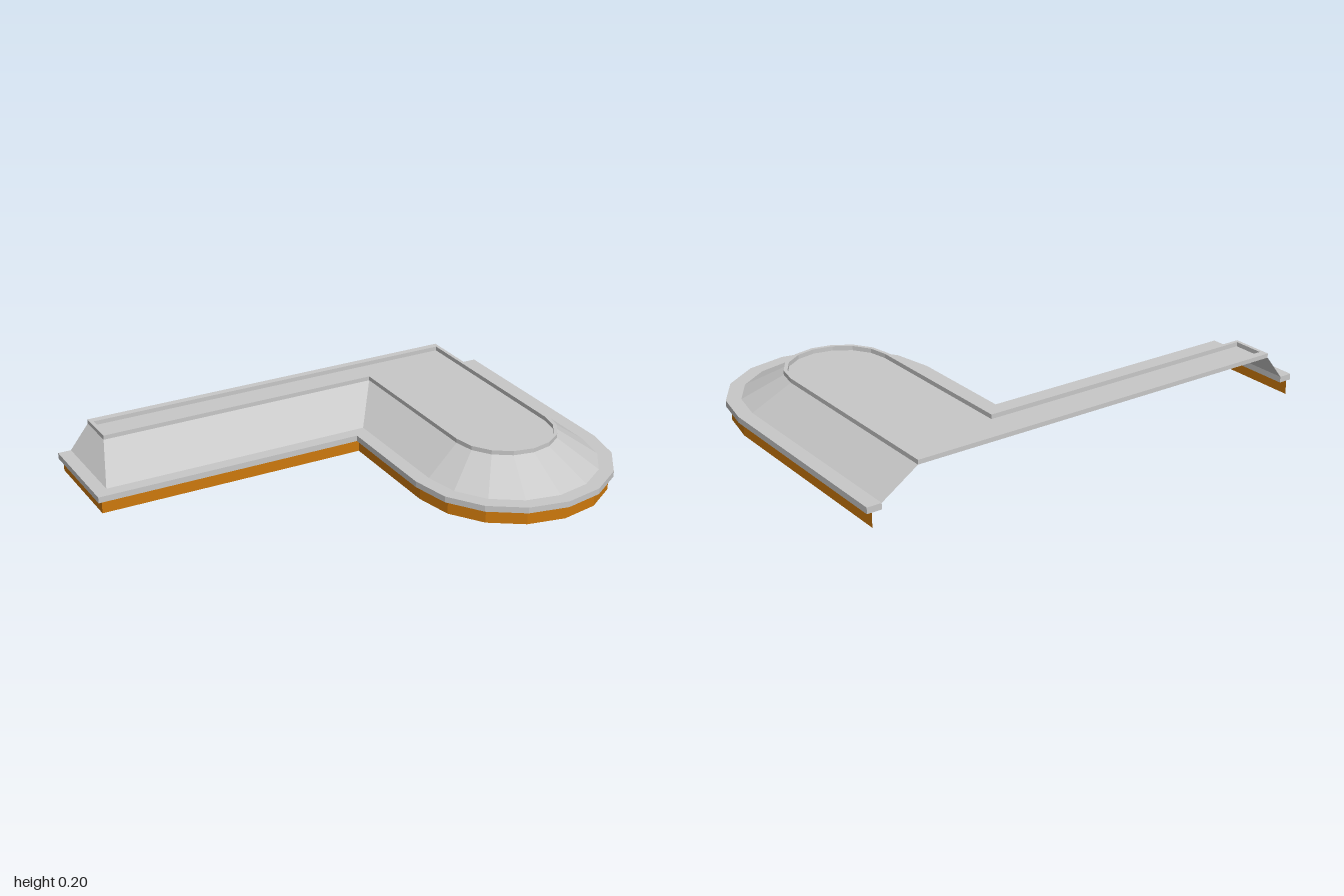
import * as THREE from 'three';

const BACK = -0.675, CX = 0.57;

// Open outline running from back left, round the inner corner and rounded bay, to back right
function outline(left, front, radius, arcZ, back = BACK) {
  const pts = [[left, back], [left, front], [CX - radius, front]];
  for (let i = 0; i <= 8; i++) {
    const a = Math.PI * i / 8;
    pts.push([CX - radius * Math.cos(a), arcZ + radius * Math.sin(a)]);
  }
  pts.push([CX + radius, back]);
  return pts;
}

const toVectors = pts => pts.map(([x, z]) => new THREE.Vector2(x, -z));

// Flat-faced strip joining two matching outlines at different heights
function strip(low, yLow, high, yHigh) {
  const pos = [];
  for (let i = 0; i < low.length - 1; i++) {
    const a = [low[i][0], yLow, low[i][1]], b = [low[i + 1][0], yLow, low[i + 1][1]];
    const c = [high[i + 1][0], yHigh, high[i + 1][1]], d = [high[i][0], yHigh, high[i][1]];
    pos.push(...a, ...b, ...c, ...a, ...c, ...d);
  }
  const g = new THREE.BufferGeometry();
  g.setAttribute('position', new THREE.Float32BufferAttribute(pos, 3));
  g.computeVertexNormals();
  return g;
}

// Horizontal slab between two heights
function slab(shape, y0, y1) {
  const g = new THREE.ExtrudeGeometry(shape, { depth: y1 - y0, bevelEnabled: false });
  return g.rotateX(-Math.PI / 2).translate(0, y0, 0);
}

export function createModel() {
  const group = new THREE.Group();
  const material = (name, color) => {
    const m = new THREE.MeshStandardMaterial({ color, side: THREE.DoubleSide, flatShading: true });
    m.name = name;
    return m;
  };
  const grey = material('roofGrey', 0xc8c8c8);
  const orange = material('fasciaOrange', 0xcc780c);
  const add = (name, geometry, mat) => {
    const mesh = new THREE.Mesh(geometry, mat);
    mesh.name = name;
    group.add(mesh);
  };

  const eaveEdge = outline(-1, -0.23, 0.43, 0.245);
  const wallLine = outline(-0.98, -0.25, 0.41, 0.245);
  const slopeFoot = outline(-0.945, -0.285, 0.37, 0.245);
  const slopeHead = outline(-0.865, -0.5, 0.22, 0.205);
  const rimInner = outline(-0.85, -0.515, 0.205, 0.205, -0.645);

  // Thin band under the eaves, open at the back
  add('fasciaBand', strip(wallLine, 0, wallLine, 0.06), orange);

  // Projecting eave ledge
  const ledge = new THREE.Shape(toVectors([...eaveEdge, ...slopeFoot.slice().reverse()]));
  add('eaveLedge', slab(ledge, 0.058, 0.083), grey);

  // Sloping roof skin
  add('roofSlope', strip(slopeFoot, 0.083, slopeHead, 0.185), grey);

  // Recessed flat top
  const top = new THREE.ShapeGeometry(new THREE.Shape(toVectors(rimInner)));
  add('roofDeck', top.rotateX(-Math.PI / 2).translate(0, 0.185, 0), grey);

  // Raised rim around the flat top
  const rim = new THREE.Shape(toVectors(slopeHead));
  rim.holes.push(new THREE.Path(toVectors(rimInner)));
  add('roofRim', slab(rim, 0.185, 0.203), grey);

  return group;
}
